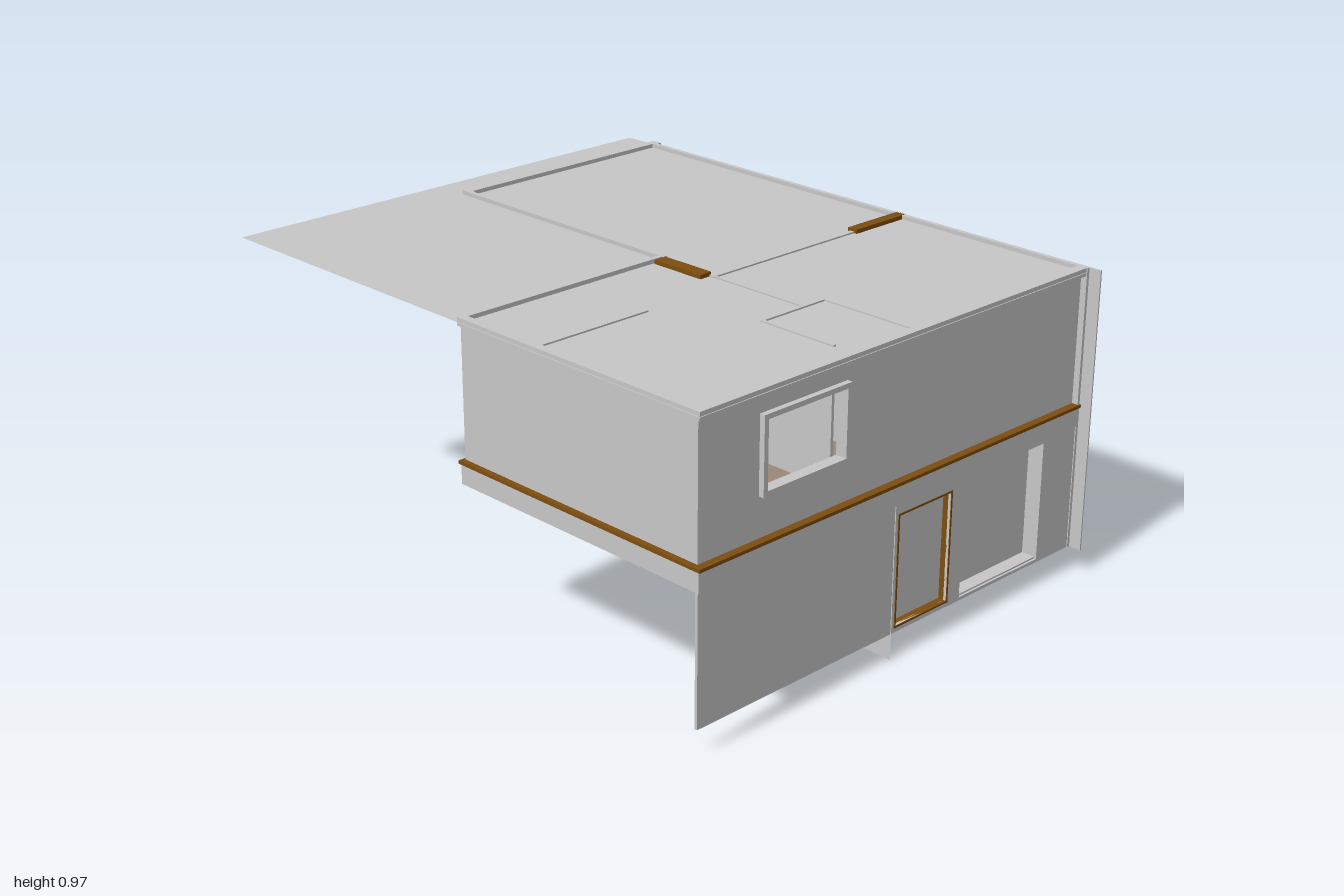
import * as THREE from 'three';

const mat = (name, color) => {
  const m = new THREE.MeshStandardMaterial({ color, side: THREE.DoubleSide });
  m.name = name;
  return m;
};

export function createModel() {
  const plaster = mat('plaster grey', 0xc8c8c8);
  const wood = mat('brown wood', 0x7d4e0f);
  const floorMat = mat('tan floor', 0x9c8878);
  const dark = mat('dark trim', 0x3a2a14);
  const house = new THREE.Group();
  house.name = 'house';

  const add = (name, geo, m) => {
    const mesh = new THREE.Mesh(geo, m);
    mesh.name = name;
    house.add(mesh);
    return mesh;
  };
  // Box from its limits on each axis
  const box = (name, m, x0, x1, y0, y1, z0, z1) =>
    add(name, new THREE.BoxGeometry(x1 - x0, y1 - y0, z1 - z0), m)
      .position.set((x0 + x1) / 2, (y0 + y1) / 2, (z0 + z1) / 2);
  // Slab outline with rectangular holes, each [u0, u1, v0, v1]
  const slab = ([u0, u1, v0, v1], holes, depth) => {
    const rect = (P, a, b, c, d) => {
      const p = new P();
      p.moveTo(a, c); p.lineTo(b, c); p.lineTo(b, d); p.lineTo(a, d); p.closePath();
      return p;
    };
    const s = rect(THREE.Shape, u0, u1, v0, v1);
    for (const [a, b, c, d] of holes) s.holes.push(rect(THREE.Path, a, b, c, d));
    return new THREE.ExtrudeGeometry(s, { depth, bevelEnabled: false });
  };
  // Wall across z, between x0 and x1 (outline is z, y)
  const wallX = (name, m, x0, x1, outline, holes = []) =>
    add(name, slab(outline, holes, x1 - x0).rotateY(-Math.PI / 2).translate(x1, 0, 0), m);
  // Wall across x, between z0 and z1 (outline is x, y)
  const wallZ = (name, m, z0, z1, outline, holes = []) =>
    add(name, slab(outline, holes, z1 - z0).translate(0, 0, z0), m);
  // Ring around a hole
  const ring = ([a, b, c, d], w) => [[a - w, b + w, c - w, d + w], [[a, b, c, d]]];

  const TOP = 0.97, UP = 0.545, BASE = 0.08;

  // Flat roof sheet
  const roof = add('roof', new THREE.PlaneGeometry(1.96, 1.6).rotateX(-Math.PI / 2), plaster);
  roof.position.set(-0.02, 0.957, 0);

  // Rear wall with window
  const rearWindow = [0.42, 0.69, 0.68, 0.845];
  wallZ('rearWall', plaster, -0.785, -0.77, [-0.88, 0.96, BASE, TOP], [rearWindow]);
  wallZ('rearWindowFrame', plaster, -0.805, -0.76, ...ring(rearWindow, 0.015));
  box('rearWallFin', plaster, 0.96, 1.0, BASE, TOP, -0.785, -0.78);
  box('rearDoorPanel', plaster, 0.28, 0.58, BASE, 0.475, -0.788, -0.785);
  for (let i = 0; i < 5; i++)
    box('rearVent', dark, 0.14 + i * 0.025, 0.152 + i * 0.025, 0.27, 0.274, -0.787, -0.785);

  // Tall left wall with five windows
  const leftWindows = [[-0.58, -0.26, 0.22, 0.4]];
  for (const [a, b] of [[-0.66, -0.44], [-0.4, -0.18]])
    for (const [c, d] of [[0.48, 0.68], [0.72, 0.92]]) leftWindows.push([a, b, c, d]);
  wallX('leftWall', plaster, -0.87, -0.855, [-0.785, 0.04, BASE, TOP], leftWindows);
  for (const w of leftWindows) wallX('leftWindowFrame', plaster, -0.88, -0.85, ...ring(w, 0.012));
  for (const z of [-0.8, 0.02]) box('cornerPost', plaster, -0.88, -0.845, BASE, TOP, z, z + 0.02);

  // Front wall sheet of the main hall, reaching the ground
  const front = add('frontWall', new THREE.PlaneGeometry(1.84, 0.54), plaster);
  front.position.set(0.04, 0.27, 0.04);
  box('frontUpperWall', plaster, -0.88, 0.04, 0.54, TOP, 0.025, 0.04);

  // Ground floor
  box('hallFloor', floorMat, -0.86, 0.28, BASE, 0.095, -0.77, 0.04);
  box('roomFloor', plaster, 0.28, 0.95, BASE, 0.095, -0.77, 0.04);
  box('hallwayFloor', plaster, 0.1, 0.28, 0.078, 0.08, -0.22, 0.035);
  box('bathFloor', floorMat, 0.56, 0.94, 0.077, BASE, -0.77, -0.63);

  // Upper storey slab with wood edge and tan floor
  box('upperSlab', plaster, 0.02, 0.96, 0.475, 0.535, -0.795, 0.8);
  box('upperSlabTrim', wood, 0.012, 0.965, 0.535, 0.545, -0.8, 0.803);
  box('upperFloor', floorMat, 0.03, 0.935, 0.545, 0.549, -0.77, 0.775);

  // Upper block walls
  const sideWindow = [0.25, 0.55, 0.68, 0.88];
  wallX('upperRightWall', plaster, 0.925, 0.94, [-0.785, 0.785, UP, TOP], [sideWindow]);
  wallX('upperRightWindowFrame', plaster, 0.92, 0.957, ...ring(sideWindow, 0.015));
  box('upperFrontWall', plaster, 0.02, 0.94, UP, TOP, 0.77, 0.785);
  box('upperLeftWall', plaster, 0.02, 0.035, UP, TOP, 0.04, 0.785);
  box('frontCoping', plaster, 0.02, 0.955, 0.945, TOP, 0.785, 0.797);
  box('rightCoping', plaster, 0.94, 0.957, 0.945, TOP, -0.785, 0.797);

  // Lower right wall with two recessed bays
  wallX('lowerRightWall', plaster, 0.948, 0.957, [-0.78, 0.8, BASE, 0.475],
    [[-0.2, 0.02, 0.1, 0.44], [-0.62, -0.26, 0.09, 0.465]]);
  box('sideDoorPanel', plaster, 0.925, 0.93, 0.1, 0.44, -0.2, 0.02);
  wallX('sideDoorFrame', wood, 0.93, 0.959, ...ring([-0.2, 0.02, 0.1, 0.44], 0.006));
  box('sideBayPanel', plaster, 0.9, 0.905, 0.09, 0.475, -0.64, -0.24);
  for (const z of [-0.63, -0.26]) box('sideBayJamb', plaster, 0.9, 0.957, 0.09, 0.475, z, z + 0.01);
  box('sideDoorSill', wood, 0.925, 0.94, 0.066, BASE, -0.22, 0.05);
  box('innerSill', wood, 0.61, 0.93, 0.066, BASE, -0.235, -0.22);

  // Upper partitions, each [x0, x1, z0, z1]
  for (const [a, b, c, d] of [
    [0.235, 0.25, -0.56, 0.04], [0.23, 0.59, 0.03, 0.038], [0.59, 0.6, -0.05, 0.2],
    [0.6, 0.93, -0.055, -0.045], [0.59, 0.86, 0.195, 0.205], [0.315, 0.325, 0.37, 0.77],
  ]) box('upperPartition', plaster, a, b, UP, 0.962, c, d);

  // Ground floor partitions
  box('lowerPartition', plaster, 0.275, 0.285, 0.095, 0.475, -0.77, -0.22);
  box('lowerPartition', plaster, 0.285, 0.9, 0.095, 0.475, -0.235, -0.225);

  // Wood panels that rise through the roof
  box('rearWoodPanel', wood, 0.225, 0.26, UP, TOP, -0.787, -0.56);
  box('galleryWoodPanel', wood, 0.04, 0.23, UP, TOP, 0.032, 0.075);

  // Closet doors behind the side window
  box('closetDoors', wood, 0.325, 0.335, UP, 0.9, 0.38, 0.77);
  for (const z of [0.385, 0.475]) box('closetSeam', dark, 0.335, 0.338, UP, 0.9, z, z + 0.01);
  box('closetHandle', plaster, 0.335, 0.342, 0.725, 0.733, 0.49, 0.52);

  // Small feet under the hall floor
  for (const z of [-0.535, -0.695]) box('floorPeg', plaster, -0.365, -0.33, 0.065, BASE, z, z + 0.01);

  return house;
}
